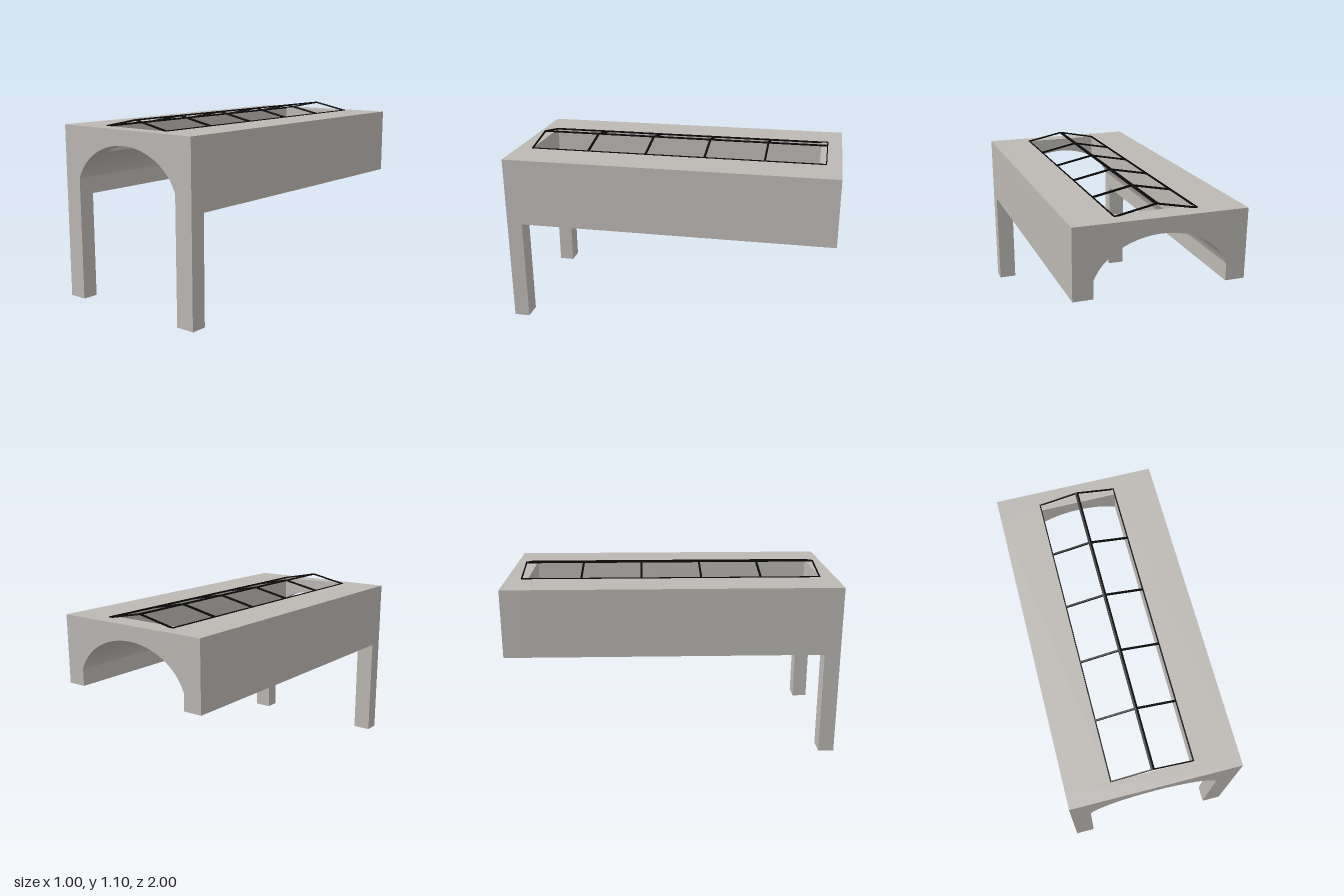
import * as THREE from 'three';

const HALF = 0.5, TOP = 1.045, EDGE = 0.634; // roof block half width, top, underside
const INNER = 0.385, SPRING = 0.735;         // inner walls and arch spring height
const OPEN = 0.24;                           // half width of the skylight opening
const FRONT = 0.905, BACK = -0.87;           // ends of the opening
const ARCH = { a: 0.4008, b: 0.306, y: 0.65 };

const concrete = new THREE.MeshStandardMaterial({ color: 0xbcb8b4, flatShading: true });
concrete.name = 'concrete';
const blackMetal = new THREE.MeshStandardMaterial({ color: 0x0a0a0a, flatShading: true });
blackMetal.name = 'blackMetal';

// Points along the elliptical soffit between two angles
function archPoints(t0, t1, n) {
  return Array.from({ length: n + 1 }, (_, i) => {
    const t = t0 + (t1 - t0) * i / n;
    return [ARCH.a * Math.cos(t), ARCH.y + ARCH.b * Math.sin(t)];
  });
}

function extrudeZ(name, points, z0, z1) {
  const shape = new THREE.Shape(points.map(([x, y]) => new THREE.Vector2(x, y)));
  const geo = new THREE.ExtrudeGeometry(shape, { depth: z1 - z0, bevelEnabled: false });
  geo.translate(0, 0, z0);
  const mesh = new THREE.Mesh(geo, concrete);
  mesh.name = name;
  return mesh;
}

// Box bar along local x between two points in the xy plane, lying just under that line
function slopedBar(name, x0, y0, x1, y1, thick, width, z) {
  const len = Math.hypot(x1 - x0, y1 - y0);
  const geo = new THREE.BoxGeometry(len, thick, width);
  geo.translate(0, -thick / 2, 0);
  const bar = new THREE.Mesh(geo, blackMetal);
  bar.position.set((x0 + x1) / 2, (y0 + y1) / 2, z);
  bar.rotation.z = Math.atan2(y1 - y0, x1 - x0);
  bar.name = name;
  return bar;
}

export function createModel() {
  const model = new THREE.Group();
  model.name = 'vaultedRoof';

  // Full arched end walls; the front one stands on two legs
  const spring = Math.asin((SPRING - ARCH.y) / ARCH.b);
  const endWall = (foot) => [
    [-HALF, foot], [-HALF, TOP], [HALF, TOP], [HALF, foot], [INNER, foot],
    ...archPoints(spring, Math.PI - spring, 32), [-INNER, foot],
  ];
  model.add(extrudeZ('frontArchWithLegs', endWall(0), FRONT, 1));
  model.add(extrudeZ('backArch', endWall(EDGE), -1, BACK));

  // Vault halves on both sides of the opening
  const half = [
    [OPEN, TOP], [HALF, TOP], [HALF, EDGE], [INNER, EDGE],
    ...archPoints(spring, Math.acos(OPEN / ARCH.a), 11),
  ];
  for (const s of [1, -1]) {
    const side = half.map(([x, y]) => [s * x, y]);
    model.add(extrudeZ(s > 0 ? 'leftVault' : 'rightVault', side, BACK, FRONT));
  }

  // Pitched skylight frame
  const skylight = new THREE.Group();
  skylight.name = 'skylightFrame';
  const z0 = -0.912, z1 = 0.908, bays = 5, peak = 1.098, eave = 1.05;
  const length = z1 - z0, mid = (z0 + z1) / 2;
  for (const s of [1, -1]) {
    // Rafters, thinner at the two ends
    for (let i = 0; i <= bays; i++) {
      const end = i === 0 || i === bays;
      const w = end ? 0.006 : 0.011;
      const z = z0 + length * i / bays + (i === 0 ? w / 2 : i === bays ? -w / 2 : 0);
      const [x0, x1, y0, y1] = s > 0 ? [0, OPEN, peak, eave] : [-OPEN, 0, eave, peak];
      skylight.add(slopedBar('rafter', x0, y0, x1, y1, 0.01, w, z));
    }
    // Ridge strip
    const drop = peak - 0.011 * (peak - eave) / OPEN;
    const [rx0, rx1, ry0, ry1] = s > 0 ? [0, 0.011, peak, drop] : [-0.011, 0, drop, peak];
    skylight.add(slopedBar('ridge', rx0, ry0, rx1, ry1, 0.006, length, mid));
    // Eave strip
    const rail = new THREE.Mesh(new THREE.BoxGeometry(0.007, 0.01, length), blackMetal);
    rail.position.set(s * (OPEN - 0.001), eave - 0.005, mid);
    rail.name = 'eaveRail';
    skylight.add(rail);
  }
  model.add(skylight);
  return model;
}
